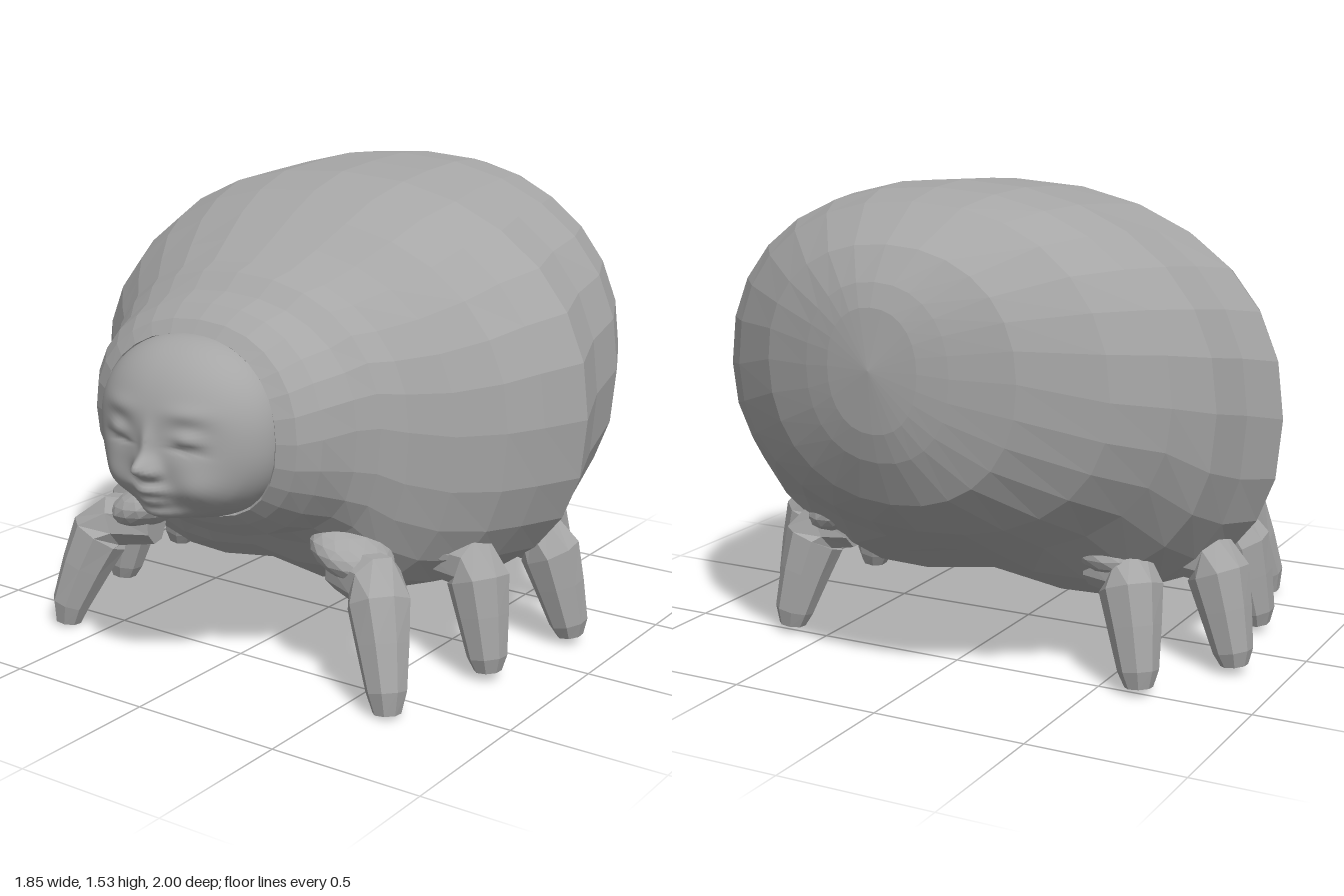
import * as THREE from 'three';

const SIDES = 28;

// Joins equal-length rings of Vector3 into one closed surface with a point at each end.
function loft(rings, startPole, endPole) {
  const n = rings[0].length, pos = [], idx = [];
  rings.forEach(r => r.forEach(p => pos.push(p.x, p.y, p.z)));
  for (let i = 0; i < rings.length - 1; i++) {
    for (let j = 0; j < n; j++) {
      const k = (j + 1) % n, a = i * n + j, b = i * n + k;
      idx.push(a, b, b + n, a, b + n, a + n);
    }
  }
  const cap = (pole, base, flip) => {
    const c = pos.length / 3;
    pos.push(pole.x, pole.y, pole.z);
    for (let j = 0; j < n; j++) {
      const a = base + j, b = base + (j + 1) % n;
      idx.push(c, flip ? b : a, flip ? a : b);
    }
  };
  cap(startPole, 0, true);
  cap(endPole, (rings.length - 1) * n, false);
  const g = new THREE.BufferGeometry();
  g.setAttribute('position', new THREE.Float32BufferAttribute(pos, 3));
  g.setIndex(idx);
  return g;
}

function flat(g) {
  const f = g.index ? g.toNonIndexed() : g;
  f.computeVertexNormals();
  return f;
}

// Swollen body: z, half width, top, widest height, bottom
function bodyGeometry() {
  const stations = [
    [-0.98, 0.15, 1.21, 1.03, 0.84], [-0.955, 0.24, 1.28, 1.02, 0.75],
    [-0.89, 0.42, 1.38, 1.01, 0.61], [-0.74, 0.64, 1.49, 0.95, 0.49],
    [-0.60, 0.77, 1.52, 0.92, 0.40], [-0.44, 0.845, 1.53, 0.88, 0.25],
    [-0.25, 0.87, 1.52, 0.84, 0.14], [-0.08, 0.925, 1.505, 0.80, 0.13],
    [0.08, 0.86, 1.46, 0.80, 0.14], [0.20, 0.80, 1.40, 0.80, 0.15],
    [0.32, 0.69, 1.33, 0.80, 0.18], [0.42, 0.585, 1.275, 0.82, 0.25],
    [0.49, 0.53, 1.255, 0.84, 0.34], [0.55, 0.485, 1.205, 0.84, 0.39],
    [0.62, 0.44, 1.18, 0.83, 0.45], [0.68, 0.39, 1.14, 0.82, 0.50],
    [0.71, 0.335, 1.10, 0.82, 0.535], [0.68, 0.31, 1.08, 0.82, 0.55]
  ];
  const rings = stations.map(([z, w, top, mid, bot]) => {
    const ring = [];
    for (let j = 0; j < SIDES; j++) {
      const t = j / SIDES * Math.PI * 2, c = Math.cos(t), s = Math.sin(t);
      const belly = s < 0 && z > -0.5 && z < 0.6;
      const e = 2 / (belly ? 2.4 : 2.2);
      const x = w * Math.sign(c) * Math.abs(c) ** e;
      let y = mid + (s > 0 ? top - mid : mid - bot) * Math.sign(s) * Math.abs(s) ** e;
      // hollow along the middle of the belly
      if (belly && s < -0.5) y += 0.1 * Math.max(0, 1 - Math.abs(x) / 0.48);
      const lean = z > 0.6 ? 0.04 * c * c : 0;
      ring.push(new THREE.Vector3(x, y, z + lean));
    }
    return ring;
  });
  return flat(loft(rings, new THREE.Vector3(0, 1.03, -1), new THREE.Vector3(0, 0.82, 0.6)));
}

// Sleeping baby face: a dome with soft bumps [x, y, spread x, spread y, height]
function headGeometry() {
  const bumps = [
    [0, 0.74, 0.038, 0.034, 0.068],                                   // nose tip
    [0, 0.80, 0.026, 0.06, 0.018],                                    // nose bridge
    [0, 0.672, 0.055, 0.018, 0.03], [0, 0.632, 0.05, 0.016, 0.022],   // lips
    [0, 0.65, 0.09, 0.05, 0.035], [0, 0.582, 0.10, 0.035, 0.075]      // mouth, chin
  ];
  for (const s of [-1, 1]) {
    bumps.push(
      [s * 0.035, 0.728, 0.017, 0.016, 0.018],    // nostril
      [s * 0.13, 0.835, 0.07, 0.045, -0.025],     // eye socket
      [s * 0.135, 0.835, 0.05, 0.026, 0.03],      // eyelid
      [s * 0.135, 0.803, 0.05, 0.007, -0.012],    // lid crease
      [s * 0.13, 0.91, 0.07, 0.025, 0.008],       // brow
      [s * 0.16, 0.67, 0.08, 0.07, 0.035]         // cheek
    );
  }
  const point = (r, t) => {
    const c = Math.cos(t), s = Math.sin(t), e = 2 / 2.2;
    const x = 0.32 * r * Math.sign(c) * Math.abs(c) ** e;
    const y = 0.82 + 0.28 * r * Math.sign(s) * Math.abs(s) ** e;
    let z = 0.71 + 0.225 * Math.sqrt(Math.max(0, 1 - r * r));
    for (const [bx, by, sx, sy, h] of bumps) {
      z += h * Math.exp(-(((x - bx) / sx) ** 2) - ((y - by) / sy) ** 2) * Math.min(1, (1 - r) * 10);
    }
    return new THREE.Vector3(x, y, z);
  };
  const n = 72;
  const ringAt = r => Array.from({ length: n }, (_, j) => point(r, j / n * Math.PI * 2));
  const rings = [ringAt(1).map(p => p.setZ(0.62))];
  for (let i = 0; i < 40; i++) rings.push(ringAt(Math.cos(i / 40 * Math.PI / 2)));
  const g = loft(rings, new THREE.Vector3(0, 0.82, 0.62), point(0, 0));
  g.computeVertexNormals();
  return g;
}

// Stubby leg: rings of varying radius along a bent path
function legGeometry(path, radii) {
  const n = 8, pts = path.map(p => new THREE.Vector3(...p));
  const side = new THREE.Vector3(), up = new THREE.Vector3();
  const rings = pts.map((p, i) => {
    const dir = pts[Math.min(i + 1, pts.length - 1)].clone().sub(pts[Math.max(i - 1, 0)]).normalize();
    side.set(0, 0, 1).addScaledVector(dir, -dir.z).normalize();
    up.crossVectors(dir, side);
    return Array.from({ length: n }, (_, j) => {
      const t = (j + 0.5) / n * Math.PI * 2;
      return p.clone().addScaledVector(side, Math.cos(t) * radii[i]).addScaledVector(up, Math.sin(t) * radii[i]);
    });
  });
  return flat(loft(rings, pts[0], pts[pts.length - 1]));
}

export function createModel() {
  const model = new THREE.Group();
  model.name = 'babyFacedMite';
  const skin = new THREE.MeshStandardMaterial({ color: 0xa6a6a6 });
  skin.name = 'greySkin';

  const add = (name, geometry, parent = model) => {
    const mesh = new THREE.Mesh(geometry, skin);
    mesh.name = name;
    parent.add(mesh);
    return mesh;
  };

  add('body', bodyGeometry());
  add('head', headGeometry());

  // Legs: hip x, hip z, knee x, knee z, foot x, foot z, foot height
  const legs = [
    [0.38, 0.46, 0.55, 0.53, 0.645, 0.62, 0.005], [0.50, 0.17, 0.69, 0.18, 0.755, 0.21, 0.025],
    [0.58, -0.16, 0.75, -0.17, 0.83, -0.20, 0.025], [0.44, -0.40, 0.57, -0.43, 0.635, -0.50, 0.02]
  ];
  for (const s of [1, -1]) {
    legs.forEach(([hx, hz, kx, kz, fx, fz, fy], i) => {
      const leg = new THREE.Group();
      leg.name = (s > 0 ? 'left' : 'right') + 'Leg' + (i + 1);
      const at = (k, y) => [s * (kx + (fx - kx) * k), y, kz + (fz - kz) * k];
      const path = [[s * hx, 0.37, hz], at(-0.3, 0.36), at(0.12, 0.31), at(0.5, 0.2), at(0.92, 0.07), at(1, fy)];
      add('limb', legGeometry(path, [0.08, 0.092, 0.1, 0.084, 0.064, 0.044]), leg);
      // fold of skin around the hip
      const fold = add('hipFold', flat(new THREE.IcosahedronGeometry(1, 2)), leg);
      fold.scale.set(0.14, 0.07, 0.13);
      fold.position.set(s * (hx + 0.03), 0.42, hz);
      fold.rotation.z = -s * 0.35;
      model.add(leg);
    });
  }
  return model;
}
